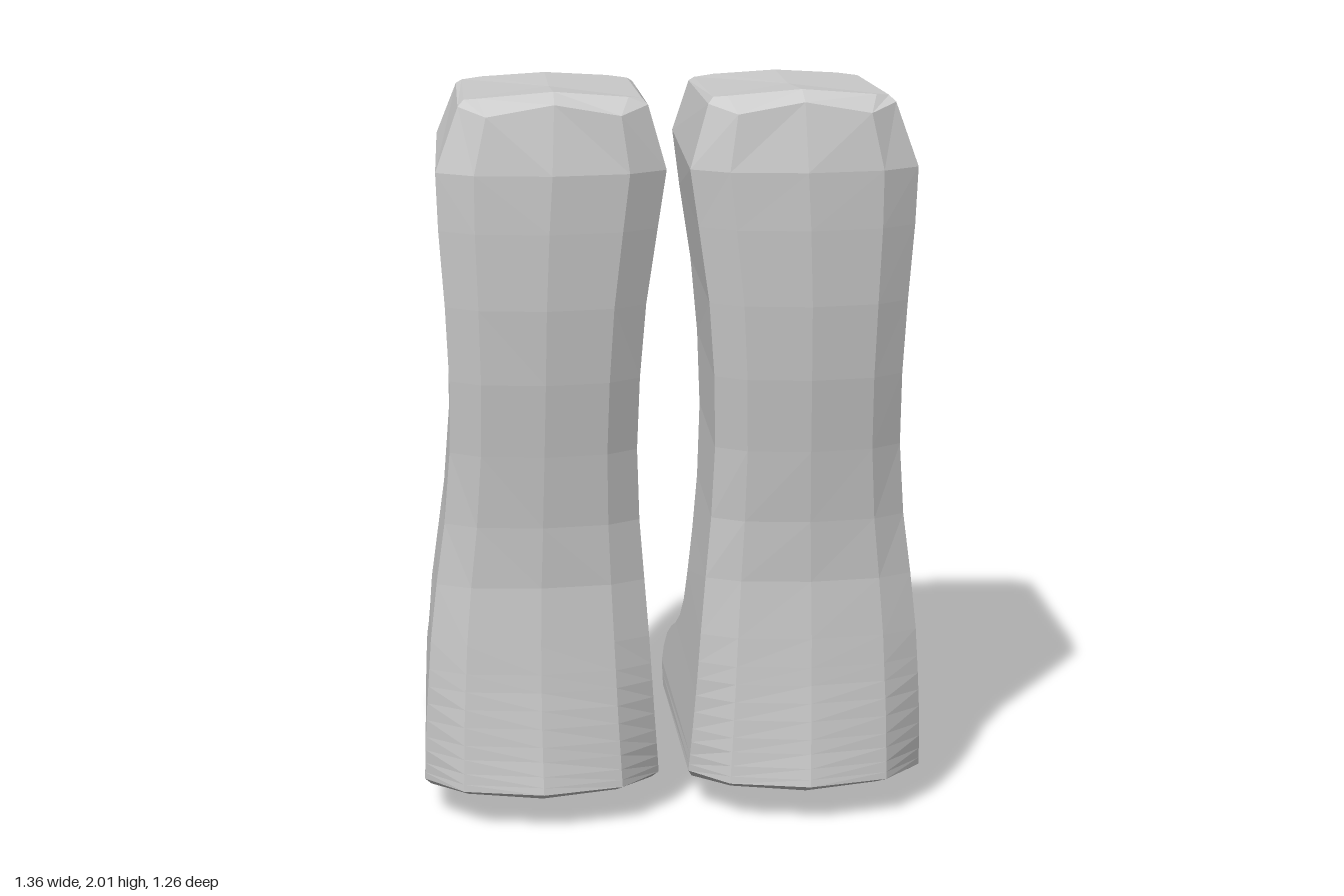
import * as THREE from 'three';

// piecewise-linear lookup in a list of [key, value, ...] entries
function lookup(table, key, col = 1) {
  if (key <= table[0][0]) return table[0][col];
  for (let i = 1; i < table.length; i++) {
    const a = table[i - 1], b = table[i];
    if (key <= b[0]) return a[col] + (b[col] - a[col]) * (key - a[0]) / (b[0] - a[0]);
  }
  return table[table.length - 1][col];
}

// width by height: [y, centre x, half width]
const WIDTH = [
  [0, 0.36, 0.315], [0.1, 0.36, 0.32], [0.3, 0.363, 0.308], [0.6, 0.362, 0.287], [0.8, 0.355, 0.262],
  [1, 0.35, 0.246], [1.2, 0.345, 0.245], [1.4, 0.342, 0.253], [1.6, 0.335, 0.275],
  [1.8, 0.323, 0.293], [2, 0.315, 0.22],
];

// heel edge by height: [y, z, bevel depth]
const HEEL = [
  [0.11, 0.568, 0.145], [0.2, 0.555, 0.115], [0.4, 0.535, 0.075], [0.6, 0.525, 0.06], [0.7, 0.522, 0.06],
  [0.85, 0.535, 0.065], [1.05, 0.562, 0.07], [1.25, 0.592, 0.07], [1.45, 0.614, 0.075],
  [1.65, 0.627, 0.08], [1.8, 0.632, 0.08],
];

// toe, instep and shin edge, each paired with a heel height: [z, y, bevel depth, heel y]
const SHIN = [
  [-0.63, 0.03, 0.14, 0.11], [-0.625, 0.09, 0.14, 0.13], [-0.6, 0.18, 0.14, 0.16],
  [-0.52, 0.25, 0.11, 0.2], [-0.42, 0.293, 0.075, 0.24], [-0.3, 0.325, 0.045, 0.29],
  [-0.2, 0.348, 0.025, 0.34], [-0.1, 0.4, 0.02, 0.39], [-0.04, 0.47, 0.03, 0.44],
  [-0.012, 0.57, 0.045, 0.52], [0, 0.7, 0.055, 0.68], [0, 0.85, 0.06, 0.85],
  [-0.01, 1.05, 0.06, 1.05], [-0.03, 1.25, 0.065, 1.25], [-0.06, 1.45, 0.065, 1.45],
  [-0.09, 1.65, 0.07, 1.65], [-0.11, 1.8, 0.07, 1.8],
];

// half rings run heel centre, heel corner, heel side, shin side, shin corner, shin centre
const RIM = [
  [0, 1.975, 0.6], [0.17, 1.945, 0.595], [0.24, 1.965, 0.54],
  [0.24, 1.945, -0.035], [0.19, 1.92, -0.095], [0, 1.93, -0.11],
];
const LID = [
  [0, 2, 0.54], [0.19, 1.985, 0.54], [0.225, 1.98, 0.52],
  [0.225, 1.955, -0.03], [0.17, 1.96, -0.05], [0, 1.97, -0.05],
];

function halfRing(i) {
  const [z, y, depth, heelY] = SHIN[i];
  const before = SHIN[Math.max(i - 1, 0)], after = SHIN[Math.min(i + 1, SHIN.length - 1)];
  const dz = after[0] - before[0], dy = after[1] - before[1], len = Math.hypot(dz, dy);
  const heelZ = lookup(HEEL, heelY), heelDepth = lookup(HEEL, heelY, 2);
  const heel = (across, inset) =>
    [across * lookup(WIDTH, heelY, 2), heelY, heelZ - inset * heelDepth];
  const shin = (across, inset) => {
    const py = y - inset * depth * dz / len;
    return [across * lookup(WIDTH, py, 2), py, z + inset * depth * dy / len];
  };
  return [heel(0, 0), heel(0.67, 0.3), heel(1, 1), shin(1, 1), shin(0.67, 0.28), shin(0, 0)];
}

// mirror a half ring to ten points and place it on the boot's bent centre line
function fullRing(half, side) {
  const mirrored = half.slice(1, 5).reverse().map(([x, y, z]) => [-x, y, z]);
  return [...half, ...mirrored].map(([x, y, z]) => [side * (x + lookup(WIDTH, y)), y, z]);
}

function bootGeometry(side) {
  const rows = SHIN.map((_, i) => halfRing(i));
  // slightly rounded sole below the lowest ring
  const sole = rows[0].map(([x, y, z]) => {
    const sz = -0.03 + (z + 0.03) * 0.84;
    const drop = 0.03 + 0.012 * (1 - Math.abs(x) / 0.32);
    return [x * 0.95, 0.03 + 0.08 * (sz + 0.63) / 1.2 - drop, sz];
  });
  const rings = [sole, ...rows, RIM, LID].map((half) => fullRing(half, side));
  const positions = [];
  const triangle = (a, b, c) =>
    positions.push(...a, ...(side > 0 ? b : c), ...(side > 0 ? c : b));
  const count = 10;
  for (let i = 0; i + 1 < rings.length; i++) {
    for (let j = 0; j < count; j++) {
      const k = (j + 1) % count;
      triangle(rings[i][j], rings[i][k], rings[i + 1][k]);
      triangle(rings[i][j], rings[i + 1][k], rings[i + 1][j]);
    }
  }
  // closed sole and closed top
  const middle = (ring) => [0, 1, 2].map((c) => ring.reduce((sum, p) => sum + p[c], 0) / count);
  const bottom = rings[0], top = rings[rings.length - 1];
  const bottomMid = middle(bottom), topMid = middle(top);
  bottomMid[1] -= 0.005;
  for (let j = 0; j < count; j++) {
    const k = (j + 1) % count;
    triangle(bottomMid, bottom[k], bottom[j]);
    triangle(topMid, top[j], top[k]);
  }
  const geometry = new THREE.BufferGeometry();
  geometry.setAttribute('position', new THREE.Float32BufferAttribute(positions, 3));
  geometry.computeVertexNormals();
  return geometry;
}

export function createModel() {
  const group = new THREE.Group();
  group.name = 'boots';
  const material = new THREE.MeshStandardMaterial({ color: 0xcccccc, flatShading: true });
  for (const [name, side] of [['leftBoot', 1], ['rightBoot', -1]]) {
    const boot = new THREE.Mesh(bootGeometry(side), material);
    boot.name = name;
    group.add(boot);
  }
  return group;
}
